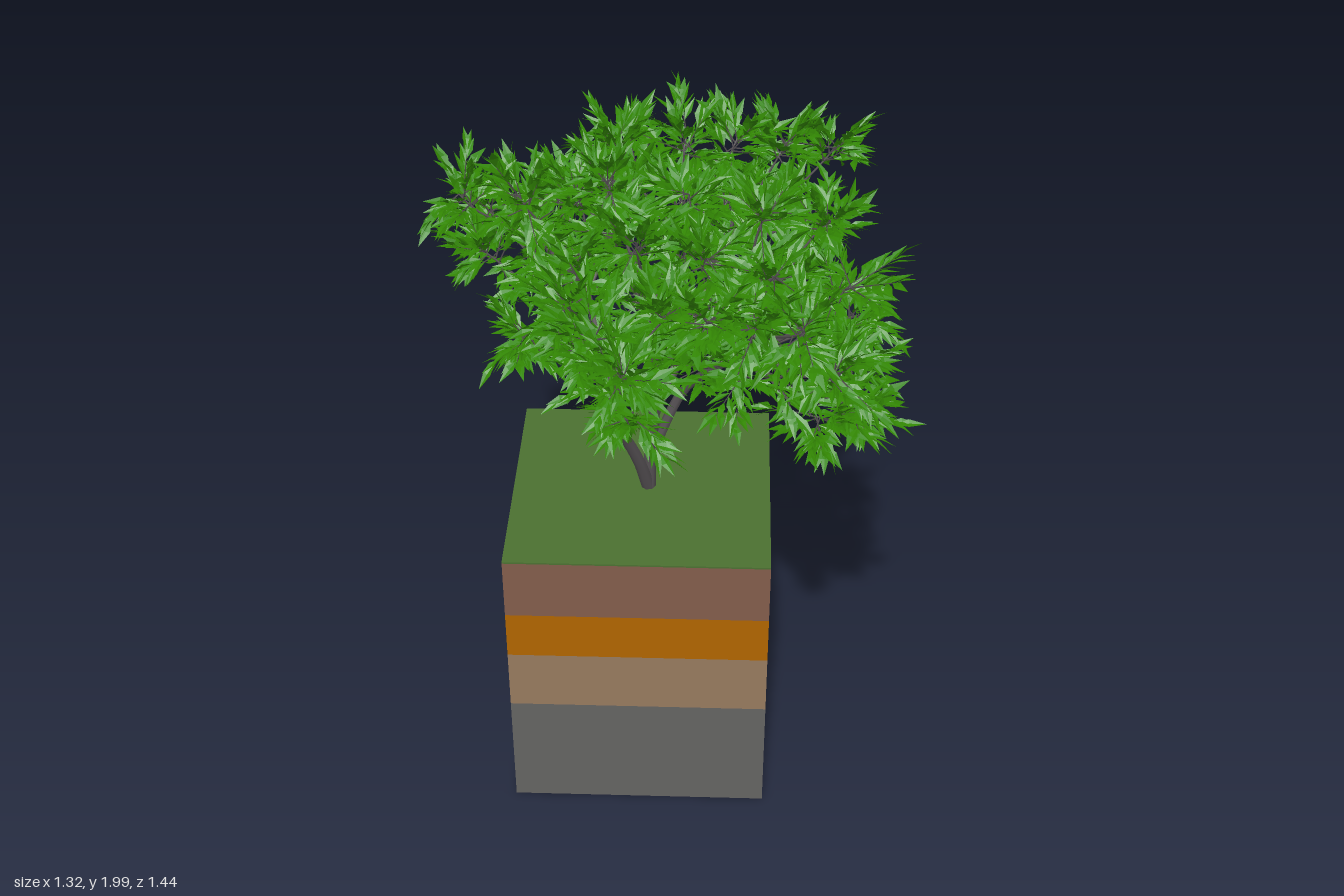
import * as THREE from 'three';
import { mergeGeometries } from 'three/addons/utils/BufferGeometryUtils.js';

const V = (x, y, z) => new THREE.Vector3(x, y, z);

// Small seeded random generator
function makeRandom(seed) {
  return () => {
    seed = (seed * 1664525 + 1013904223) % 4294967296;
    return seed / 4294967296;
  };
}

// Tube along a smooth path that narrows from r0 to r1
function taperedTube(points, r0, r1, sides = 7) {
  const curve = new THREE.CatmullRomCurve3(points);
  const steps = points.length > 2 ? points.length * 3 : 1;
  const geo = new THREE.TubeGeometry(curve, steps, 1, sides, false);
  const pos = geo.attributes.position;
  const v = V(0, 0, 0);
  for (let i = 0; i <= steps; i++) {
    const centre = curve.getPointAt(i / steps);
    const r = THREE.MathUtils.lerp(r0, r1, i / steps);
    for (let j = 0; j <= sides; j++) {
      const k = i * (sides + 1) + j;
      v.fromBufferAttribute(pos, k).sub(centre).multiplyScalar(r).add(centre);
      pos.setXYZ(k, v.x, v.y, v.z);
    }
  }
  return geo;
}

export function createModel() {
  const model = new THREE.Group();
  const rand = makeRandom(77);
  const jitter = (s) => (rand() * 2 - 1) * s;
  const mat = (name, color, side = THREE.FrontSide) => {
    const m = new THREE.MeshStandardMaterial({ color, side });
    m.name = name;
    return m;
  };
  const bark = mat('bark', 0x575255);
  const leafGreen = mat('leaf green', 0x328703, THREE.DoubleSide);

  const add = (parent, name, geo, material) => {
    const mesh = new THREE.Mesh(geo, material);
    mesh.name = name;
    parent.add(mesh);
    return mesh;
  };

  // Layered block of ground
  const ground = new THREE.Group();
  ground.name = 'groundBlock';
  model.add(ground);
  [
    ['rockLayer', 0, 0.36, 0x646361],
    ['sandLayer', 0.36, 0.545, 0x967a5e],
    ['clayLayer', 0.545, 0.69, 0xb06500],
    ['soilLayer', 0.69, 0.872, 0x825c4b],
    ['grassTop', 0.872, 0.877, 0x4b7031],
  ].forEach(([name, y0, y1, color]) => {
    const geo = new THREE.BoxGeometry(0.722, y1 - y0, 0.722);
    add(ground, name, geo, mat(name + ' colour', color)).position.set(-0.054, (y0 + y1) / 2, -0.004);
  });

  // Main stems fanning out from the base
  const tree = new THREE.Group();
  tree.name = 'tree';
  model.add(tree);
  const base = V(-0.035, 0.87, 0);
  const stems = [
    [[base, V(-0.06, 1.0, 0.05), V(-0.1, 1.13, 0.11), V(-0.13, 1.24, 0.2), V(-0.12, 1.38, 0.33)], 0.019, 0.01],
    [[V(-0.09, 1.1, 0.09), V(-0.13, 1.24, 0.03), V(-0.2, 1.46, -0.08)], 0.014, 0.009],
    [[base, V(-0.03, 1.0, 0.01), V(-0.015, 1.2, 0.03), V(-0.02, 1.5, 0.1)], 0.02, 0.009],
    [[V(-0.025, 1.0, 0.01), V(0.06, 1.2, 0.0), V(0.14, 1.32, 0.07), V(0.25, 1.46, 0.19)], 0.016, 0.009],
    [[V(-0.018, 1.14, 0.02), V(0.06, 1.29, -0.08), V(0.14, 1.46, -0.22)], 0.016, 0.009],
  ];
  stems.forEach(([pts, r0, r1]) => add(tree, 'stem', taperedTube(pts, r0, r1), bark));
  const hubs = stems.map(([pts]) => pts[pts.length - 1]);

  // Leaf: a pointed blade slightly folded along its midrib
  const leafPos = [];
  function addLeaf(root, dir, len) {
    const up = V(jitter(0.8), 1, jitter(0.8));
    const side = dir.clone().cross(up).normalize();
    const nrm = side.clone().cross(dir).normalize();
    const at = (t, w, lift) =>
      root.clone().addScaledVector(dir, len * t).addScaledVector(side, len * w).addScaledVector(nrm, len * lift);
    const a = at(0, 0, 0), l = at(0.42, -0.15, 0.06), r = at(0.42, 0.15, 0.06);
    const m = at(0.45, 0, 0.02), tip = at(1, 0, -0.06);
    if (tip.y > 1.995) return;
    [a, m, l, a, r, m, l, m, tip, m, r, tip].forEach((p) => leafPos.push(p.x, p.y, p.z));
  }

  // One clump of foliage: a branch from the nearest stem, with leafy twigs
  const twigs = [];
  function addClump(c, r) {
    const hub = hubs.reduce((a, b) => (b.distanceTo(c) < a.distanceTo(c) ? b : a));
    const out = c.clone().sub(V(-0.03, 1.25, 0)).normalize();
    const foot = c.clone().addScaledVector(out, -r * 0.4);
    const mid = hub.clone().lerp(foot, 0.5).add(V(jitter(0.03), jitter(0.02) - 0.01, jitter(0.03)));
    add(tree, 'branch', taperedTube([hub, mid, foot, c], 0.007, 0.002, 5), bark);

    for (let t = 0; t < 13; t++) {
      const ang = t * 2.4 + rand();
      const dir = V(Math.cos(ang), jitter(1.3) + 0.1, Math.sin(ang)).addScaledVector(out, 0.45).normalize();
      const start = foot.clone().lerp(c, rand());
      const end = start.clone().addScaledVector(dir, r * (0.45 + 0.5 * rand()));
      twigs.push(taperedTube([start, end], 0.0025, 0.001, 3));
      // Leaves alternate along the twig, sweeping towards its end
      const across = V(-dir.z, jitter(0.4), dir.x);
      for (let i = 0; i < 11; i++) {
        const along = 0.25 + 0.075 * i;
        const leafDir = dir.clone().addScaledVector(across, (i % 2 ? 1 : -1) * (0.9 - along * 0.55));
        leafDir.add(V(jitter(0.25), jitter(0.35), jitter(0.25))).normalize();
        addLeaf(start.clone().lerp(end, along), leafDir, 0.058 + 0.026 * rand());
      }
    }
  }

  // Foliage ridges: first point, last point, clumps between, storeys of clumps
  [
    // back
    [V(0.22, 1.51, -0.58), V(0.24, 1.56, -0.44), 2, 1],
    [V(-0.32, 1.53, -0.5), V(-0.38, 1.54, -0.4), 2, 1],
    [V(-0.08, 1.7, -0.38), V(-0.12, 1.86, -0.2), 2, 2],
    [V(0.06, 1.84, -0.26), V(0.46, 1.77, -0.35), 4, 2],
    // left
    [V(-0.53, 1.74, -0.1), V(-0.22, 1.78, -0.04), 3, 2],
    [V(-0.48, 1.6, -0.27), V(-0.28, 1.72, -0.18), 2, 1],
    [V(-0.36, 1.48, 0.17), V(-0.22, 1.66, 0.13), 2, 1],
    // crown
    [V(-0.13, 1.88, 0.06), V(0.28, 1.83, 0.12), 3, 2],
    [V(-0.05, 1.8, 0.24), V(0.3, 1.79, 0.36), 3, 2],
    // right
    [V(0.43, 1.78, 0.08), V(0.48, 1.7, 0.27), 2, 2],
    [V(0.53, 1.52, 0.1), V(0.52, 1.39, 0.35), 3, 1],
    [V(0.42, 1.4, 0.4), V(0.45, 1.58, 0.48), 2, 1],
    // front
    [V(0.02, 1.7, 0.42), V(0.36, 1.72, 0.51), 4, 2],
    [V(-0.22, 1.72, 0.4), V(-0.07, 1.62, 0.57), 3, 2],
  ].forEach(([first, last, count, storeys]) => {
    for (let i = 0; i < count * storeys; i++) {
      const storey = Math.floor(i / count);
      const c = first.clone().lerp(last, (i % count) / (count - 1));
      const inward = 1 - 0.1 * storey;
      addClump(V(c.x * inward, c.y - 0.16 * storey, c.z * inward), 0.142 + jitter(0.015));
    }
  });

  // Sparse low sprigs growing from the bare stems
  const [leftFork, rightFork] = [stems[1][0][1], stems[4][0][1]];
  [
    [leftFork, V(-0.28, 1.36, -0.08)],
    [leftFork, V(-0.32, 1.4, 0.06)],
    [rightFork, V(0.1, 1.31, -0.25)],
    [rightFork, V(0.2, 1.37, -0.14)],
  ].forEach(([start, tip]) => {
    const mid = start.clone().lerp(tip, 0.5).add(V(0, 0.015, 0));
    add(tree, 'sprig', taperedTube([start, mid, tip], 0.004, 0.002, 4), bark);
    for (let i = 0; i < 16; i++) {
      const dir = V(tip.x + jitter(0.3), jitter(0.15), tip.z + jitter(0.3)).normalize();
      addLeaf(start.clone().lerp(tip, 0.5 + 0.035 * i), dir, 0.075);
    }
  });

  add(tree, 'twigs', mergeGeometries(twigs), bark);

  const leafGeo = new THREE.BufferGeometry();
  leafGeo.setAttribute('position', new THREE.Float32BufferAttribute(leafPos, 3));
  leafGeo.computeVertexNormals();
  add(tree, 'leaves', leafGeo, leafGreen);

  return model;
}
